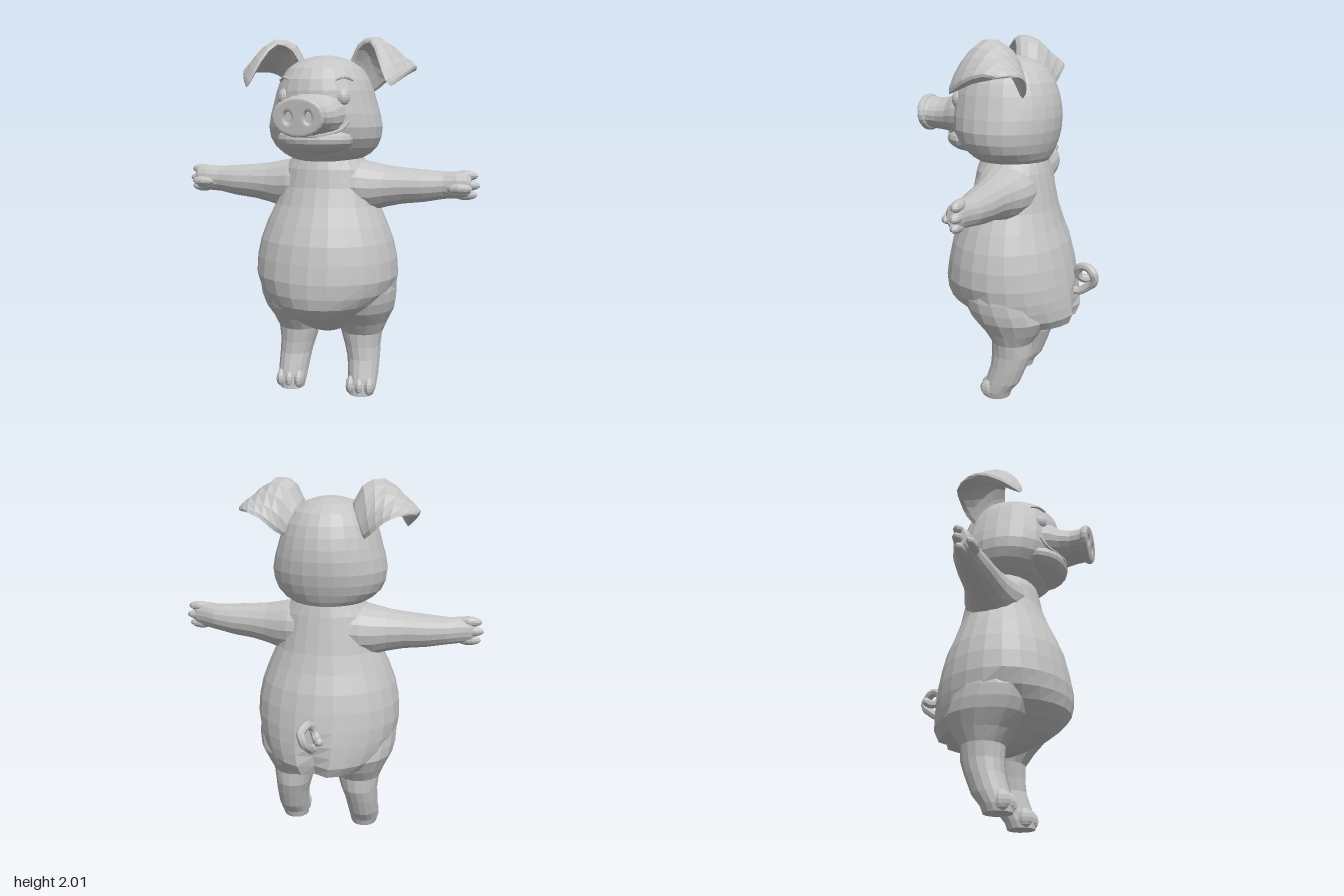
import * as THREE from 'three';

const V = (x, y, z) => new THREE.Vector3(x, y, z);

// Closed skin over rings of equal length, wound so that it faces outwards
function skin(rings) {
  const n = rings[0].length, pts = rings.flat(), idx = [];
  for (let i = 0; i < rings.length - 1; i++)
    for (let j = 0; j < n; j++) {
      const a = i * n + j, b = i * n + (j + 1) % n;
      idx.push(a, b, a + n, b, b + n, a + n);
    }
  for (const [k, flip] of [[0, true], [rings.length - 1, false]]) {
    const c = pts.length;
    pts.push(rings[k].reduce((s, p) => s.add(p), V(0, 0, 0)).divideScalar(n));
    for (let j = 0; j < n; j++) {
      const a = k * n + j, b = k * n + (j + 1) % n;
      if (flip) idx.push(c, b, a); else idx.push(c, a, b);
    }
  }
  let volume = 0;
  for (let i = 0; i < idx.length; i += 3)
    volume += pts[idx[i]].dot(V(0, 0, 0).crossVectors(pts[idx[i + 1]], pts[idx[i + 2]]));
  if (volume < 0) idx.reverse();
  const g = new THREE.BufferGeometry().setFromPoints(pts);
  g.setIndex(idx);
  g.computeVertexNormals();
  return g;
}

function ring(seg, fn) {
  return Array.from({ length: seg }, (_, i) => {
    const a = (i / seg) * Math.PI * 2;
    return fn(Math.cos(a), Math.sin(a));
  });
}

function ball(x, y, z, rx, ry, rz, w = 12, h = 8) {
  return new THREE.SphereGeometry(1, w, h).scale(rx, ry, rz).translate(x, y, z);
}

function tube(points, r, steps = 10, sides = 6) {
  const curve = new THREE.CatmullRomCurve3(points.map(p => V(...p)));
  return new THREE.TubeGeometry(curve, steps, r, sides);
}

function mirrored(geo) {
  const g = geo.clone().scale(-1, 1, 1);
  g.setIndex(Array.from(g.index.array).reverse());
  g.computeVertexNormals();
  return g;
}

// Folded ear: a bent sheet with rounded thickness
function earGeometry() {
  const rows = [ // front edge, middle, back edge
    [[.13, 1.83, .03], [.15, 1.78, -.07], [.20, 1.70, -.12]],
    [[.185, 1.94, .045], [.215, 1.93, -.06], [.26, 1.74, -.165]],
    [[.26, 1.975, .085], [.305, 1.96, -.03], [.325, 1.80, -.185]],
    [[.325, 1.88, .165], [.40, 1.90, .0], [.40, 1.835, -.18]],
    [[.375, 1.77, .205], [.46, 1.84, .02], [.455, 1.835, -.12]],
    [[.40, 1.74, .195], [.475, 1.82, .03], [.475, 1.83, -.075]],
  ];
  const edges = [0, 1, 2].map(k => new THREE.CatmullRomCurve3(rows.map(r => V(...r[k]))));
  const at = (u, v) => {
    const [f, m, b] = edges.map(c => c.getPoint(Math.min(1, Math.max(0, u))));
    const ctl = m.multiplyScalar(2).addScaledVector(f, -.5).addScaledVector(b, -.5);
    return new THREE.QuadraticBezierCurve3(f, ctl, b).getPoint(v);
  };
  const rings = [];
  for (let i = 0; i <= 10; i++) {
    const u = i / 10, thick = i === 10 ? .012 : .032 - .01 * u;
    rings.push(ring(16, (c, s) => {
      const v = .5 - .5 * c, e = .02;
      const du = at(u + e, v).sub(at(u - e, v));
      const dv = at(u, Math.min(1, v + e)).sub(at(u, Math.max(0, v - e)));
      return at(u, v).addScaledVector(du.cross(dv).normalize(), thick * s);
    }));
  }
  return skin(rings);
}

export function createModel() {
  const pig = new THREE.Group();
  pig.name = 'pig';
  const grey = new THREE.MeshStandardMaterial({ color: 0xc4c4c4, flatShading: true });
  grey.name = 'plain grey';

  const add = (name, geo) => {
    const m = new THREE.Mesh(geo, grey);
    m.name = name;
    pig.add(m);
    return m;
  };
  const pair = (name, geo) => {
    add('left' + name, geo);
    add('right' + name, mirrored(geo));
  };

  // Upright forms: rows of [y, half width, front z, back z, front narrowing, rear cleft]
  const upright = rows => skin(rows.map(([y, rx, f, b, q = 0, cleft = 0]) =>
    ring(24, (c, s) => V(rx * c * (s > .01 ? 1 - q : 1), y,
      (f + b) / 2 + (f - b) / 2 * s + (s < -.99 ? cleft : 0)))));

  // Torso with a belly that tucks in between the thighs and a cleft at the rear
  add('body', upright([
    [.365, .08, .06, -.13, 0, .02], [.39, .17, .13, -.23, .25, .04],
    [.44, .27, .235, -.375, .3, .045], [.50, .34, .31, -.40, .24, .045],
    [.56, .375, .355, -.395, .12, .03], [.62, .395, .367, -.388, .04, .012],
    [.70, .408, .368, -.375], [.80, .402, .352, -.355], [.90, .38, .33, -.33],
    [1.0, .342, .29, -.29], [1.1, .295, .245, -.26], [1.2, .27, .208, -.24],
    [1.3, .245, .19, -.22], [1.36, .20, .17, -.205], [1.42, .16, .13, -.18],
  ]));

  add('head', upright([
    [1.325, .10, .11, -.14], [1.345, .18, .18, -.20], [1.38, .245, .225, -.222],
    [1.42, .287, .265, -.24], [1.47, .31, .305, -.257], [1.53, .317, .325, -.27],
    [1.60, .303, .33, -.275], [1.66, .285, .327, -.27], [1.72, .268, .322, -.257],
    [1.78, .245, .305, -.235], [1.84, .207, .26, -.195], [1.885, .145, .185, -.13],
    [1.91, .06, .09, -.04],
  ]));

  // Snout: rows of [z, centre y, half width, half height]
  add('snout', skin([
    [.22, 1.60, .20, .15], [.30, 1.595, .17, .125], [.35, 1.585, .143, .098],
    [.41, 1.582, .125, .088], [.46, 1.585, .123, .087], [.488, 1.587, .128, .091],
  ].map(([z, y, rx, ry]) => ring(20, (c, s) => V(rx * c, y + ry * s, z)))));

  // Snout disc with two nostril openings
  const disc = new THREE.Shape().absellipse(0, 0, .122, .085, 0, Math.PI * 2);
  for (const x of [-.053, .053])
    disc.holes.push(new THREE.Path().absellipse(x, 0, .035, .046, 0, Math.PI * 2, true));
  const discGeo = new THREE.ExtrudeGeometry(disc, {
    depth: .012, bevelThickness: .014, bevelSize: .016, bevelSegments: 3, curveSegments: 12,
  });
  const plate = add('snoutDisc', discGeo);
  plate.position.set(0, 1.587, .488);
  plate.rotation.x = .1;

  // Lower jaw and smile
  add('jaw', ball(0, 1.468, .2, .215, .085, .165, 20, 12));
  add('smile', tube([[-.195, 1.56, .255], [-.16, 1.52, .285], [-.09, 1.495, .335], [0, 1.487, .36],
    [.09, 1.495, .335], [.16, 1.52, .285], [.195, 1.56, .255]], .009, 20));

  pair('Eye', ball(.155, 1.685, .245, .043, .05, .042, 14, 10));
  pair('Brow', tube([[.125, 1.777, .273], [.165, 1.79, .24], [.2, 1.777, .203]], .008));
  pair('Ear', earGeometry());

  // Arm: rows of [x, centre y, centre z, half height, half depth]
  pair('Arm', skin([
    [.10, 1.21, -.02, .14, .185], [.20, 1.205, -.02, .143, .17], [.27, 1.2, -.02, .134, .145],
    [.34, 1.203, -.018, .116, .121], [.43, 1.208, -.016, .101, .104], [.55, 1.21, -.015, .089, .091],
    [.66, 1.217, -.015, .075, .072], [.73, 1.222, 0, .073, .058], [.785, 1.222, .006, .066, .045],
    [.805, 1.222, .006, .045, .03],
  ].map(([x, y, z, ry, rz]) => ring(16, (c, s) => V(x, y + ry * s, z + rz * c)))));

  // Fingers: [x, y, z, length]
  [[.77, 1.272, -.008, .07], [.78, 1.22, -.008, .072], [.77, 1.17, -.002, .068], [.745, 1.205, .048, .07]]
    .forEach(([x, y, z, l], i) => pair('Finger' + (i + 1), ball(x, y, z, l, .029, .03, 8, 8)));

  // Leg: rows of [y, centre x, centre z, half width, half depth]
  pair('Leg', skin([
    [.80, .22, -.03, .13, .14], [.70, .222, -.025, .168, .19], [.62, .22, -.02, .178, .218],
    [.56, .213, -.035, .182, .222], [.50, .205, -.055, .177, .218], [.42, .195, -.07, .147, .165],
    [.35, .19, -.07, .122, .117], [.27, .197, -.07, .105, .115], [.20, .207, -.055, .095, .105],
    [.10, .213, -.02, .087, .10], [.04, .212, .01, .083, .083], [0, .21, .018, .073, .077],
  ].map(([y, x, z, rx, rz]) => ring(16, (c, s) => V(x + rx * c, y, z + rz * s)))));

  // Toes
  [.157, .211, .265].forEach((x, i) =>
    pair('Toe' + (i + 1), ball(x, .054, i === 1 ? .055 : .047, .03, .054, .054, 8, 8)));

  // Curly tail
  const coil = [[0, .62, -.35], [0, .615, -.40]];
  for (let i = 0; i <= 12; i++) {
    const a = -1.2 + i * .55, r = .067 - i * .0028;
    coil.push([.035 - Math.abs(i - 3) * .01, .715 + r * Math.sin(a), -.434 - r * Math.cos(a)]);
  }
  add('tail', tube(coil, .024, 48, 8));
  add('tailTip', ball(...coil[coil.length - 1], .024, .024, .024, 8, 6));

  return pig;
}
